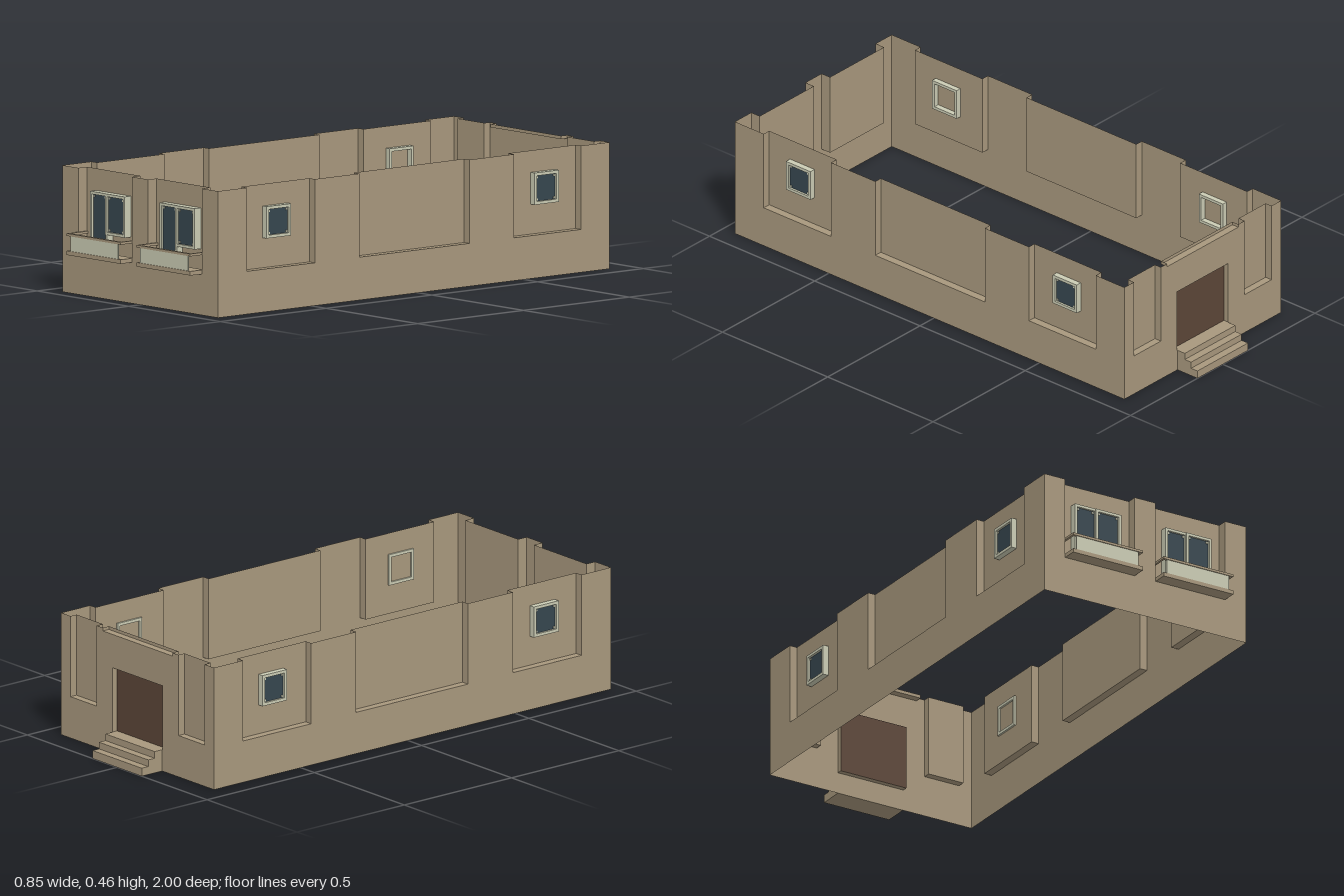
import * as THREE from 'three';

const mat = (name, color, side = THREE.FrontSide) => {
  const m = new THREE.MeshStandardMaterial({ color, side });
  m.name = name;
  return m;
};

export function createModel() {
  const tan = mat('tan plaster', 0xa8987d, THREE.DoubleSide);
  const cream = mat('cream trim', 0xcbccb4);
  const glass = mat('dark glass', 0x36464f);
  const brown = mat('brown door', 0x5c4638, THREE.DoubleSide);
  const model = new THREE.Group();
  model.name = 'buildingStorey';
  const H = 0.457;

  const add = (parent, name, geo, material) => {
    const m = new THREE.Mesh(geo, material);
    m.name = name;
    parent.add(m);
    return m;
  };
  // Box given by its min and max corners
  const box = (parent, name, material, x0, x1, y0, y1, z0, z1) =>
    add(parent, name, new THREE.BoxGeometry(x1 - x0, y1 - y0, z1 - z0), material)
      .position.set((x0 + x1) / 2, (y0 + y1) / 2, (z0 + z1) / 2);

  // Thin-sheet niche pushed inwards from a wall: back panel, sill, jambs, optional head
  const niche = (parent, name, a, b, y0, y1, z, depth, panelMat, head) => {
    const g = new THREE.Group();
    g.name = name;
    parent.add(g);
    const w = b - a, h = y1 - y0, cx = (a + b) / 2, cy = (y0 + y1) / 2;
    add(g, 'panel', new THREE.PlaneGeometry(w, h), panelMat).position.set(cx, cy, z - depth);
    for (const y of head ? [y0, y1] : [y0]) {
      add(g, 'ledge', new THREE.PlaneGeometry(w, depth).rotateX(-Math.PI / 2), tan)
        .position.set(cx, y, z - depth / 2);
    }
    for (const x of [a, b]) {
      add(g, 'jamb', new THREE.PlaneGeometry(depth, h).rotateY(x === a ? Math.PI / 2 : -Math.PI / 2), tan)
        .position.set(x, cy, z - depth / 2);
    }
  };

  // Wall sheet facing local +z, with niches open at the top: [from, to, sill]
  const wall = (name, turn, u0, u1, z, depth, niches, door) => {
    const g = new THREE.Group();
    g.name = name;
    g.rotation.y = turn;
    model.add(g);
    const s = new THREE.Shape();
    s.moveTo(u1, H);
    s.lineTo(u1, 0);
    s.lineTo(u0, 0);
    s.lineTo(u0, H);
    for (const [a, b, y] of niches) {
      s.lineTo(a, H);
      s.lineTo(a, y);
      s.lineTo(b, y);
      s.lineTo(b, H);
      niche(g, 'recess', a, b, y, H, z, depth, tan, false);
    }
    s.closePath();
    if (door) {
      const [a, b, y0, y1] = door;
      const hole = new THREE.Path();
      hole.moveTo(a, y0);
      hole.lineTo(a, y1);
      hole.lineTo(b, y1);
      hole.lineTo(b, y0);
      hole.closePath();
      s.holes.push(hole);
      niche(g, 'doorway', a, b, y0, y1, z, 0.02, brown, true);
    }
    add(g, 'wallSheet', new THREE.ShapeGeometry(s), tan).position.z = z;
    return g;
  };

  // Frame ring with a pane and four small corner tabs
  const windowUnit = (parent, name, x0, x1, y0, y1, back, front, t = 0.01) => {
    const g = new THREE.Group();
    g.name = name;
    parent.add(g);
    box(g, 'frameTop', cream, x0, x1, y1 - t, y1, back, front);
    box(g, 'frameBottom', cream, x0, x1, y0, y0 + t, back, front);
    box(g, 'frameSide', cream, x0, x0 + t, y0 + t, y1 - t, back, front);
    box(g, 'frameSide', cream, x1 - t, x1, y0 + t, y1 - t, back, front);
    const zp = front - 0.008;
    box(g, 'pane', glass, x0 + t, x1 - t, y0 + t, y1 - t, zp - 0.004, zp);
    const c = 0.007, i = t + 0.003;
    for (const x of [x0 + i, x1 - i - c]) {
      for (const y of [y0 + i, y1 - i - c]) {
        box(g, 'cornerTab', cream, x, x + c, y, y + c, zp, zp + 0.003);
      }
    }
  };

  // Front wall with two balcony bays
  const bays = [[-0.338, -0.045], [0.043, 0.336]];
  const front = wall('frontWall', 0, -0.425, 0.425, 0.945, 0.04, bays.map(([a, b]) => [a, b, 0.148]));
  for (const [a, b] of bays) {
    const bay = new THREE.Group();
    bay.name = 'balcony';
    front.add(bay);
    windowUnit(bay, 'balconyDoor', a + 0.049, a + 0.143, 0.15, 0.378, 0.906, 0.933);
    windowUnit(bay, 'balconyWindow', a + 0.136, a + 0.242, 0.23, 0.378, 0.906, 0.936);
    box(bay, 'balconyFloor', tan, a, b, 0.148, 0.163, 0.935, 1.0);
    box(bay, 'frontRail', tan, a, b, 0.217, 0.226, 0.989, 1.0);
    box(bay, 'sideRail', tan, a, a + 0.008, 0.217, 0.226, 0.906, 0.989);
    box(bay, 'sideRail', tan, b - 0.008, b, 0.217, 0.226, 0.906, 0.989);
    box(bay, 'balustradePanel', cream, a + 0.016, b - 0.016, 0.163, 0.217, 0.992, 0.997);
  }

  // Back wall with doorway
  const back = wall('backWall', Math.PI, -0.425, 0.425, 0.905, 0.028,
    [[-0.373, -0.227, 0.155], [-0.193, 0.193, 0.445], [0.227, 0.373, 0.155]],
    [-0.138, 0.138, 0.08, 0.32]);

  // Entrance steps
  [[0, 0.03, 1.0], [0.03, 0.055, 0.97], [0.055, 0.08, 0.94]].forEach(([y0, y1, z]) =>
    box(back, 'step', tan, -0.137, 0.137, y0, y1, 0.905, z));

  // Side walls: spans are given in world z
  const spans = [[-0.77, -0.452], [-0.243, 0.278], [0.488, 0.808]];
  const windows = [[-0.672, -0.558], [0.593, 0.709]];
  for (const side of [1, -1]) {
    const local = (list) => (side > 0 ? list.map(([a, b]) => [-b, -a]).reverse() : list);
    const [[u0, u1]] = local([[-0.905, 0.945]]);
    const g = wall(side > 0 ? 'leftWall' : 'rightWall', side * Math.PI / 2, u0, u1, 0.425, 0.03,
      local(spans).map(([a, b]) => [a, b, 0.155]));
    for (const [a, b] of local(windows)) {
      windowUnit(g, 'sideWindow', a, b, 0.263, 0.378, side > 0 ? 0.388 : 0.375, 0.417, 0.011);
    }
  }
  return model;
}
